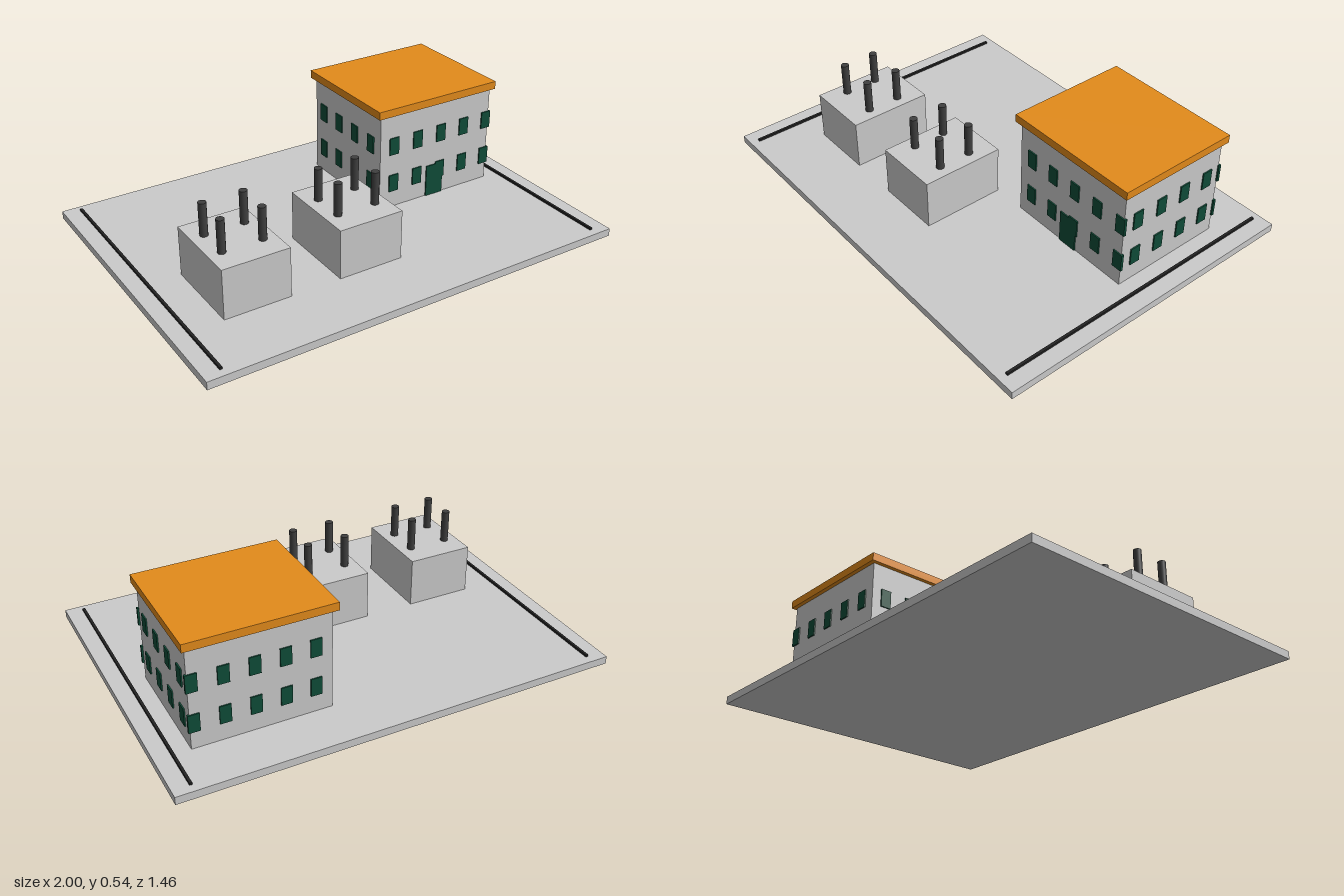
import * as THREE from 'three';

const mat = (color) => new THREE.MeshStandardMaterial({ color });

export function createModel() {
  const model = new THREE.Group();
  const grey = mat(0xcccccc), orange = mat(0xe38b1b), green = mat(0x0f4c38);
  const dark = mat(0x404040), black = mat(0x222222);

  // Box given by its minimum and maximum corners
  const box = (name, material, [x0, y0, z0], [x1, y1, z1], parent = model) => {
    const mesh = new THREE.Mesh(new THREE.BoxGeometry(x1 - x0, y1 - y0, z1 - z0), material);
    mesh.position.set((x0 + x1) / 2, (y0 + y1) / 2, (z0 + z1) / 2);
    mesh.name = name;
    parent.add(mesh);
    return mesh;
  };

  const floor = 0.036;
  box('groundSlab', grey, [-1, 0, -0.73], [1, floor, 0.73]);

  // Boundary rails along both short sides
  for (const [name, x] of [['leftRail', 0.922], ['rightRail', -0.922]])
    box(name, black, [x - 0.006, floor, -0.692], [x + 0.006, 0.046, 0.692]);

  // Main building with an overhanging flat roof
  const building = new THREE.Group();
  building.name = 'mainBuilding';
  model.add(building);
  const [bx0, bx1, bz0, bz1] = [0.23, 0.845, -0.498, 0.04];
  box('walls', grey, [bx0, floor, bz0], [bx1, 0.5, bz1], building);
  box('roof', orange, [0.21, 0.5, -0.518], [0.862, 0.537, 0.058], building);
  box('door', green, [0.49, floor, bz1 - 0.006], [0.583, 0.19, bz1 + 0.006], building);

  // Two storeys of windows on all four walls
  const half = 0.025, proud = 0.006, step = 0.131;
  for (const y of [0.117, 0.303]) {
    const top = y + 0.083;
    for (const z of [bz0, bz1])
      for (let i = 0; i < 5; i++) {
        const x = 0.304 + i * step;
        box('window', green, [x - half, y, z - proud], [x + half, top, z + proud], building);
      }
    for (const x of [bx0, bx1])
      for (let i = 0; i < 4; i++) {
        const z = -0.035 - i * step;
        box('window', green, [x - proud, y, z - half], [x + proud, top, z + half], building);
      }
  }

  // Two low plant blocks, each with four chimneys
  const chimneyGeometry = new THREE.CylinderGeometry(0.018, 0.018, 0.152, 16);
  for (const x of [-0.617, -0.078]) {
    const block = new THREE.Group();
    block.name = 'plantBlock';
    model.add(block);
    box('blockBody', grey, [x - 0.153, floor, 0.04], [x + 0.153, 0.265, 0.425], block);
    for (const dx of [-0.092, 0.092])
      for (const z of [0.156, 0.31]) {
        const chimney = new THREE.Mesh(chimneyGeometry, dark);
        chimney.name = 'chimney';
        chimney.position.set(x + dx, 0.341, z);
        block.add(chimney);
      }
  }
  return model;
}
